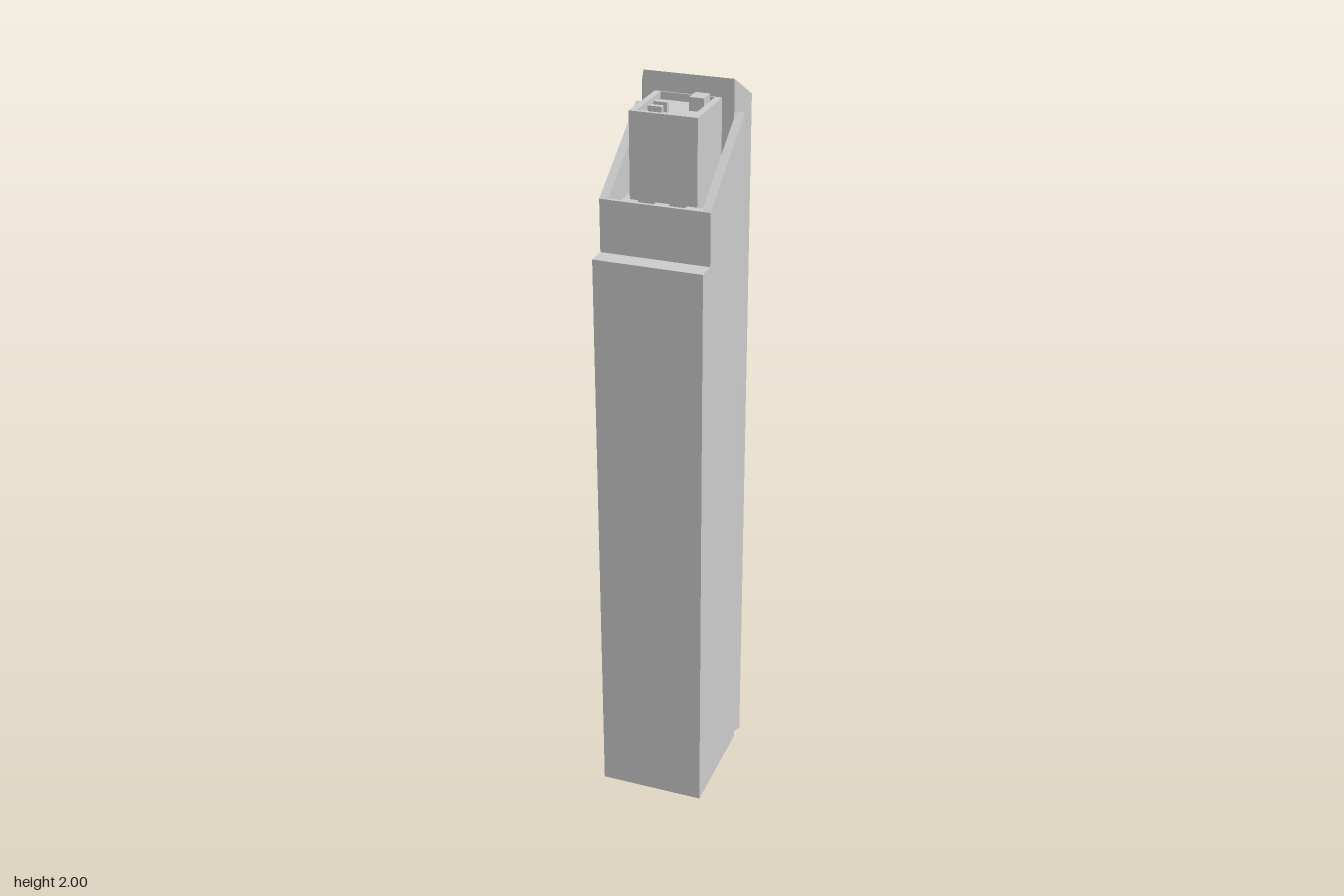
import * as THREE from 'three';

const material = new THREE.MeshStandardMaterial({ color: 0xcccccc, side: THREE.DoubleSide });

export function createModel() {
  const group = new THREE.Group();

  const add = (name, geometry, x = 0, y = 0, z = 0) => {
    const mesh = new THREE.Mesh(geometry, material);
    mesh.name = name;
    mesh.position.set(x, y, z);
    group.add(mesh);
    return mesh;
  };
  // Box given by its limits on each axis
  const box = (name, x0, x1, y0, y1, z0, z1) =>
    add(name, new THREE.BoxGeometry(x1 - x0, y1 - y0, z1 - z0), (x0 + x1) / 2, (y0 + y1) / 2, (z0 + z1) / 2);
  const shapeOf = (pts) => new THREE.Shape(pts.map(([a, b]) => new THREE.Vector2(a, b)));
  // Strip of faces between two rows of points of equal length
  const strip = (rowA, rowB) => {
    const index = [];
    const n = rowA.length;
    for (let i = 0; i < n - 1; i++) index.push(i, i + 1, n + i, i + 1, n + i + 1, n + i);
    const g = new THREE.BufferGeometry();
    g.setAttribute('position', new THREE.Float32BufferAttribute([...rowA, ...rowB].flat(), 3));
    g.setIndex(index);
    return g;
  };
  const flat = (g) => {
    const f = g.toNonIndexed();
    f.computeVertexNormals();
    return f;
  };

  const W = 0.145, inner = 0.122, front = 0.223, step = 0.17, back = -0.085;
  const roofY = 1.71, parapetY = 1.74, ridgeY = 1.915;

  // Main block: open underneath, with a step near the top of the front
  const frontProfile = [[front, 0], [front, 1.6], [step, 1.6], [step, roofY]];
  const backProfile = [[back, roofY], [back, 0]];
  const row = (profile, x) => profile.map(([z, y]) => [x, y, z]);
  add('frontWall', flat(strip(row(frontProfile, W), row(frontProfile, -W))));
  add('backWall', flat(strip(row(backProfile, W), row(backProfile, -W))));
  const sideShape = shapeOf([...frontProfile, ...backProfile].map(([z, y]) => [-z, y]).reverse());
  for (const s of [1, -1]) {
    const side = add(s > 0 ? 'leftWall' : 'rightWall', new THREE.ShapeGeometry(sideShape), s * W);
    if (s > 0) side.rotation.y = Math.PI / 2;
    else {
      side.geometry.scale(-1, 1, 1);
      const idx = side.geometry.index.array;
      for (let i = 0; i < idx.length; i += 3) [idx[i], idx[i + 1]] = [idx[i + 1], idx[i]];
      side.geometry.computeVertexNormals();
      side.rotation.y = -Math.PI / 2;
    }
  }

  // Roof terrace with sloping side parapets and a low front parapet
  const roof = new THREE.PlaneGeometry(2 * W, step - back);
  roof.rotateX(-Math.PI / 2);
  add('roof', roof, 0, roofY, (step + back) / 2);
  const cheek = shapeOf([[-step, roofY], [-back, roofY], [-back, ridgeY], [-step, parapetY]]);
  for (const x of [inner, -W]) {
    const g = new THREE.ExtrudeGeometry(cheek, { depth: W - inner, bevelEnabled: false });
    g.rotateY(Math.PI / 2);
    add('sideParapet', g, x);
  }
  box('frontParapet', -inner, inner, roofY, parapetY, 0.16, step);
  for (const x of [-0.082, 0.001, 0.083]) box('roofVent', x - 0.018, x + 0.018, roofY, roofY + 0.018, 0.116, 0.13);

  // Penthouse with a rim around its sunken roof
  const rim = shapeOf([[-0.09, -0.105], [0.088, -0.105], [0.088, 0.075], [-0.09, 0.075]]);
  rim.holes.push(shapeOf([[-0.073, -0.095], [-0.073, 0.07], [0.07, 0.07], [0.07, -0.095]]));
  const penthouse = new THREE.ExtrudeGeometry(rim, { depth: 1.95 - roofY, bevelEnabled: false });
  penthouse.rotateX(-Math.PI / 2);
  add('penthouse', penthouse, 0, roofY, 0);
  const deckY = 1.93;
  const deck = new THREE.PlaneGeometry(0.143, 0.165);
  deck.rotateX(-Math.PI / 2);
  add('penthouseDeck', deck, -0.0015, deckY, 0.0125);
  box('deckUnit', 0.027, 0.065, deckY, 1.965, -0.048, -0.003);
  for (const z of [0.021, 0.06]) box('deckVent', -0.055, -0.019, deckY, 1.955, z - 0.007, z + 0.007);

  // Rounded rear tower with a slanted top, open underneath
  const half = [[0.12, -0.074], [0.147, -0.13], [0.118, -0.19], [0.045, -0.225]];
  const outline = [...half, ...half.slice().reverse().map(([x, z]) => [-x, z])];
  const slant = (z) => 2 + (z + 0.074) * (0.135 / 0.151);
  const bottom = outline.map(([x, z]) => [x, 0, z]);
  const top = outline.map(([x, z]) => [x, slant(z), z]);
  const shell = strip(bottom, top);
  shell.computeVertexNormals();
  add('towerShell', shell);
  add('towerFront', flat(strip([bottom[7], bottom[0]], [top[7], top[0]])));
  const cap = new THREE.BufferGeometry();
  cap.setAttribute('position', new THREE.Float32BufferAttribute(top.flat(), 3));
  cap.setIndex([1, 2, 3, 4, 5, 6].flatMap((i) => [0, i, i + 1]));
  cap.computeVertexNormals();
  add('towerRoof', cap);

  return group;
}
